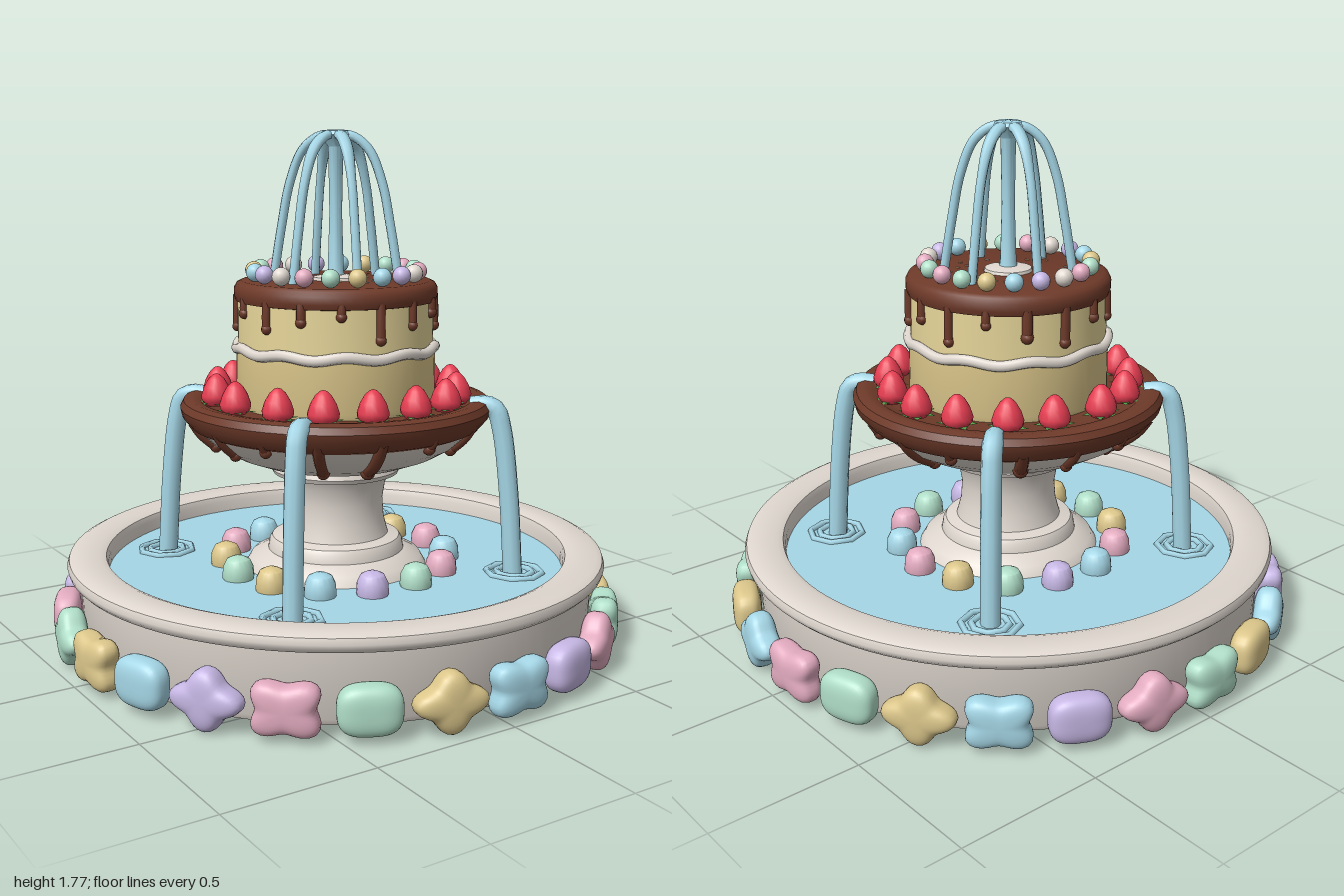
import * as THREE from 'three';
import { mergeVertices, toCreasedNormals } from 'three/addons/utils/BufferGeometryUtils.js';

function material(name, color, side = THREE.FrontSide) {
  const m = new THREE.MeshStandardMaterial({ color, side });
  m.name = name;
  return m;
}

export function createModel() {
  const root = new THREE.Group();
  root.name = 'cakeFountain';
  const stone = material('stoneCream', 0xdfd7cf, THREE.DoubleSide);
  const water = material('waterBlue', 0xa5d6e6);
  const choc = material('chocolate', 0x6e3a29);
  const cake = material('spongeYellow', 0xf6e4a4);
  const red = material('strawberryRed', 0xe83e52);
  const leaf = material('leafGreen', 0x58a04e, THREE.DoubleSide);
  const purple = material('candyPurple', 0xc6b7e4);
  const pink = material('candyPink', 0xe2abbf);
  const green = material('candyGreen', 0xb0dec8);
  const yellow = material('candyYellow', 0xdcc78b);

  const V = (x, y, z) => new THREE.Vector3(x, y, z);
  const add = (name, geo, mat, parent = root) => {
    const m = new THREE.Mesh(geo, mat);
    m.name = name;
    parent.add(m);
    return m;
  };
  const group = (name, parent = root) => {
    const g = new THREE.Group();
    g.name = name;
    parent.add(g);
    return g;
  };
  const lathe = (pts, seg = 64) =>
    toCreasedNormals(new THREE.LatheGeometry(pts.map(p => new THREE.Vector2(...p)), seg), 0.7);
  // Place something at an angle on a ring; its local +z points outward
  const onRing = (obj, angle, r, y) => {
    obj.position.set(r * Math.sin(angle), y, r * Math.cos(angle));
    obj.rotation.y = angle;
  };
  const rad = THREE.MathUtils.degToRad;
  const vary = (i) => { const s = Math.sin(i * 12.9898 + 4.1) * 43758.5453; return s - Math.floor(s); };

  // Basin: closed ring wall with a rounded overhanging rim
  add('basin', lathe([[0.82, 0.04], [0.85, 0.025], [0.88, 0.03], [0.89, 0.05], [0.9, 0.27], [0.925, 0.272], [0.938, 0.285],
    [0.942, 0.3], [0.935, 0.32], [0.915, 0.33], [0.83, 0.33], [0.808, 0.322], [0.8, 0.3], [0.8, 0.2], [0.82, 0.04]], 96), stone);
  add('poolWater', lathe([[0.3, 0.13], [0.815, 0.13], [0.805, 0.262], [0.25, 0.262]], 96), water);

  // Pedestal, hollow underneath
  add('pedestal', lathe([[0.22, 0.115], [0.46, 0.115], [0.45, 0.14], [0.34, 0.22], [0.32, 0.26], [0.3, 0.295], [0.24, 0.32],
    [0.235, 0.35], [0.225, 0.365], [0.185, 0.375], [0.17, 0.43], [0.165, 0.5], [0.175, 0.56], [0.19, 0.59],
    [0.22, 0.595], [0.227, 0.61], [0.22, 0.63]]), stone);

  // Bowl and its chocolate rim
  const bowlProfile = [[0, 0.625], [0.2, 0.628], [0.28, 0.64], [0.36, 0.67], [0.43, 0.71], [0.48, 0.755], [0.51, 0.8]];
  add('bowl', lathe(bowlProfile), stone);
  add('bowlChocolateRim', lathe([[0.47, 0.755], [0.505, 0.77], [0.535, 0.805], [0.542, 0.835], [0.53, 0.858],
    [0.505, 0.866], [0.475, 0.862], [0.45, 0.845], [0.42, 0.84], [0.3, 0.84]]), choc);

  // Chocolate drips: a tube with a round tip
  const drip = (pts, r, parent) => {
    add('drip', new THREE.TubeGeometry(new THREE.CatmullRomCurve3(pts), 8, r, 8), choc, parent);
    add('dripTip', new THREE.SphereGeometry(r * 1.2, 10, 8), choc, parent).position.copy(pts[pts.length - 1]);
  };
  const bowlDrips = group('bowlDrips');
  for (let i = 0; i < 16; i++) {
    const g = group('bowlDrip', bowlDrips);
    g.rotation.y = rad(i * 22.5 - 18 + 6 * vary(i));
    const rows = bowlProfile.slice([3, 5, 4, 4, 5][i % 5]).reverse();
    drip(rows.map(([r, y]) => V(0, y, r)), 0.016 + 0.007 * vary(i + 9), g);
  }

  // Cake with icing band and chocolate top
  add('cakeLower', lathe([[0.34, 0.84], [0.345, 0.86], [0.345, 1.03], [0.3, 1.04]]), yellow);
  add('cakeUpper', lathe([[0.3, 1.03], [0.338, 1.04], [0.338, 1.22]]), cake);
  const band = [];
  for (let i = 0; i < 96; i++) {
    const a = i / 96 * Math.PI * 2;
    band.push(V(0.343 * Math.sin(a), 1.042 + 0.006 * Math.sin(a * 10), 0.343 * Math.cos(a)));
  }
  add('icingBand', new THREE.TubeGeometry(new THREE.CatmullRomCurve3(band, true), 144, 0.019, 8, true), stone);
  add('chocolateTop', lathe([[0.33, 1.2], [0.345, 1.203], [0.351, 1.22], [0.351, 1.245], [0.342, 1.262], [0.325, 1.27], [0, 1.27]]), choc);
  const cakeDrips = group('cakeDrips');
  const dripEnds = [1.1, 1.14, 1.17, 1.11, 1.15, 1.1, 1.17, 1.13, 1.1, 1.16, 1.13, 1.11, 1.17, 1.13, 1.16, 1.18];
  dripEnds.forEach((end, i) => {
    const g = group('cakeDrip', cakeDrips);
    g.rotation.y = rad(i * 22.5 - 7);
    drip([V(0, 1.22, 0.338), V(0, (1.22 + end) / 2, 0.34), V(0, end, 0.34)], 0.014 + 0.004 * vary(i), g);
  });

  // Pale sprinkles on the chocolate top
  const sprinkles = group('sprinkles');
  for (let i = 0; i < 30; i++) {
    const s = add('sprinkle', new THREE.BoxGeometry(0.004, 0.004, 0.016), i % 2 ? stone : yellow, sprinkles);
    onRing(s, i * 2.4, 0.09 + 0.12 * vary(i + 70), 1.271);
    s.rotation.y = i;
  }

  // Round sweets on top of the cake
  const beads = group('topBeads');
  const beadColors = [pink, green, yellow, water, purple, stone];
  const beadGeo = new THREE.SphereGeometry(0.031, 16, 12);
  for (let i = 0; i < 20; i++) onRing(add('bead', beadGeo, beadColors[i % 6], beads), rad(90 + i * 18), 0.283, 1.3);

  // Strawberries, each on a flat star of leaves
  const berries = group('strawberries');
  const berryGeo = lathe([[0, 0], [0.035, 0.002], [0.051, 0.02], [0.053, 0.036], [0.043, 0.067], [0.027, 0.094], [0.012, 0.108], [0, 0.112]], 16);
  const star = new THREE.Shape();
  for (let k = 0; k < 12; k++) {
    const r = k % 2 ? 0.04 : 0.07;
    star[k ? 'lineTo' : 'moveTo'](r * Math.cos(k * Math.PI / 6), r * Math.sin(k * Math.PI / 6));
  }
  const leafGeo = new THREE.ShapeGeometry(star).rotateX(-Math.PI / 2);
  [94, 117, 140, 161, 187, 210, 230, 251, 275, 301, 322, 344, 6, 29, 49, 71].forEach((angle, i) => {
    const g = group('strawberry', berries);
    onRing(g, rad(angle), 0.42, 0.846);
    add('berry', berryGeo, red, g);
    const leaves = add('leaves', leafGeo, leaf, g);
    leaves.position.y = 0.012;
    leaves.rotation.y = vary(i);
  });

  // Soft sweets: a sphere squared off and stretched to an outline
  const sweet = (w, h, d, outline) => {
    const geo = new THREE.SphereGeometry(1, 40, 20).rotateX(Math.PI / 2);
    geo.deleteAttribute('uv');
    geo.deleteAttribute('normal');
    const p = geo.attributes.position;
    for (let i = 0; i < p.count; i++) {
      const x = p.getX(i), y = p.getY(i), z = p.getZ(i);
      const rho = Math.hypot(x, y), t = Math.atan2(y, x);
      const s = Math.pow(rho, 0.65) * outline(t);
      p.setXYZ(i, w * s * Math.cos(t), h * s * Math.sin(t), d * Math.sign(z) * Math.pow(Math.abs(z), 0.7));
    }
    const merged = mergeVertices(geo, 1e-4);
    merged.computeVertexNormals();
    return merged;
  };
  const shapes = [
    sweet(0.108, 0.086, 0.05, t => 1.03 - 0.18 * Math.cos(4 * t)),
    sweet(0.1, 0.08, 0.05, t => Math.pow(Math.abs(Math.cos(t)) ** 3 + Math.abs(Math.sin(t)) ** 3, -1 / 3)),
    sweet(0.122, 0.1, 0.05, t => 0.86 + 0.14 * Math.cos(4 * t)),
  ];
  const wallSweets = group('wallSweets');
  const wallColors = [pink, green, yellow, water, purple];
  for (let i = 0; i < 24; i++)
    onRing(add('wallSweet', shapes[i % 3], wallColors[i % 5], wallSweets), rad(93.5 + i * 15), 0.946, 0.106);

  // Domed sweets around the pedestal foot
  const footSweets = group('footSweets');
  const footGeo = lathe([[0.048, 0.24], [0.055, 0.27], [0.052, 0.305], [0.04, 0.33], [0.02, 0.34], [0, 0.342]], 16);
  [pink, water, pink, yellow, green, purple, water, pink, yellow, green, yellow, water, purple, green].forEach((color, i) =>
    onRing(add('footSweet', footGeo, color, footSweets), rad(37 + i * 360 / 14), 0.39, 0));

  // Top jet with six arching streams that broaden where they meet
  const jet = group('topJet');
  add('nozzle', lathe([[0.085, 1.265], [0.08, 1.28], [0.04, 1.288], [0, 1.288]], 24), stone, jet);
  add('jetColumn', lathe([[0.035, 1.268], [0.028, 1.3], [0.022, 1.5], [0.026, 1.72], [0.055, 1.76], [0.045, 1.774], [0, 1.778]], 16), water, jet);
  const arc = new THREE.CatmullRomCurve3([V(0, 1.762, 0.01), V(0, 1.755, 0.06), V(0, 1.71, 0.115),
    V(0, 1.6, 0.16), V(0, 1.45, 0.19), V(0, 1.265, 0.22)]);
  const arcGeo = new THREE.TubeGeometry(arc, 32, 0.016, 8);
  const ap = arcGeo.attributes.position;
  for (let i = 0; i < ap.count; i++) ap.setX(i, ap.getX(i) * (1 + 0.5 * THREE.MathUtils.smoothstep(ap.getY(i), 1.6, 1.76)));
  for (let i = 0; i < 6; i++) add('jetStream', arcGeo, water, jet).rotation.y = rad(107 + i * 60);

  // Four spills from the bowl, with ripples where they land
  const spills = group('spills');
  const fall = new THREE.CatmullRomCurve3([V(0, 0.845, 0.475), V(0, 0.85, 0.525), V(0, 0.835, 0.56),
    V(0, 0.77, 0.582), V(0, 0.55, 0.61), V(0, 0.255, 0.63)]);
  const fallGeo = new THREE.TubeGeometry(fall, 32, 0.034, 10);
  const capGeo = new THREE.CircleGeometry(0.034, 10).rotateY(Math.PI);
  for (let i = 0; i < 4; i++) {
    const g = group('spill', spills);
    g.rotation.y = rad(45 + i * 90);
    add('spillStream', fallGeo, water, g);
    add('spillStart', capGeo, water, g).position.set(0, 0.845, 0.475);
    for (const r of [0.062, 0.096]) {
      const ring = add('ripple', new THREE.TorusGeometry(r, 0.012, 6, 8).rotateX(Math.PI / 2), water, g);
      ring.position.set(0, 0.264, 0.635);
    }
  }
  return root;
}
